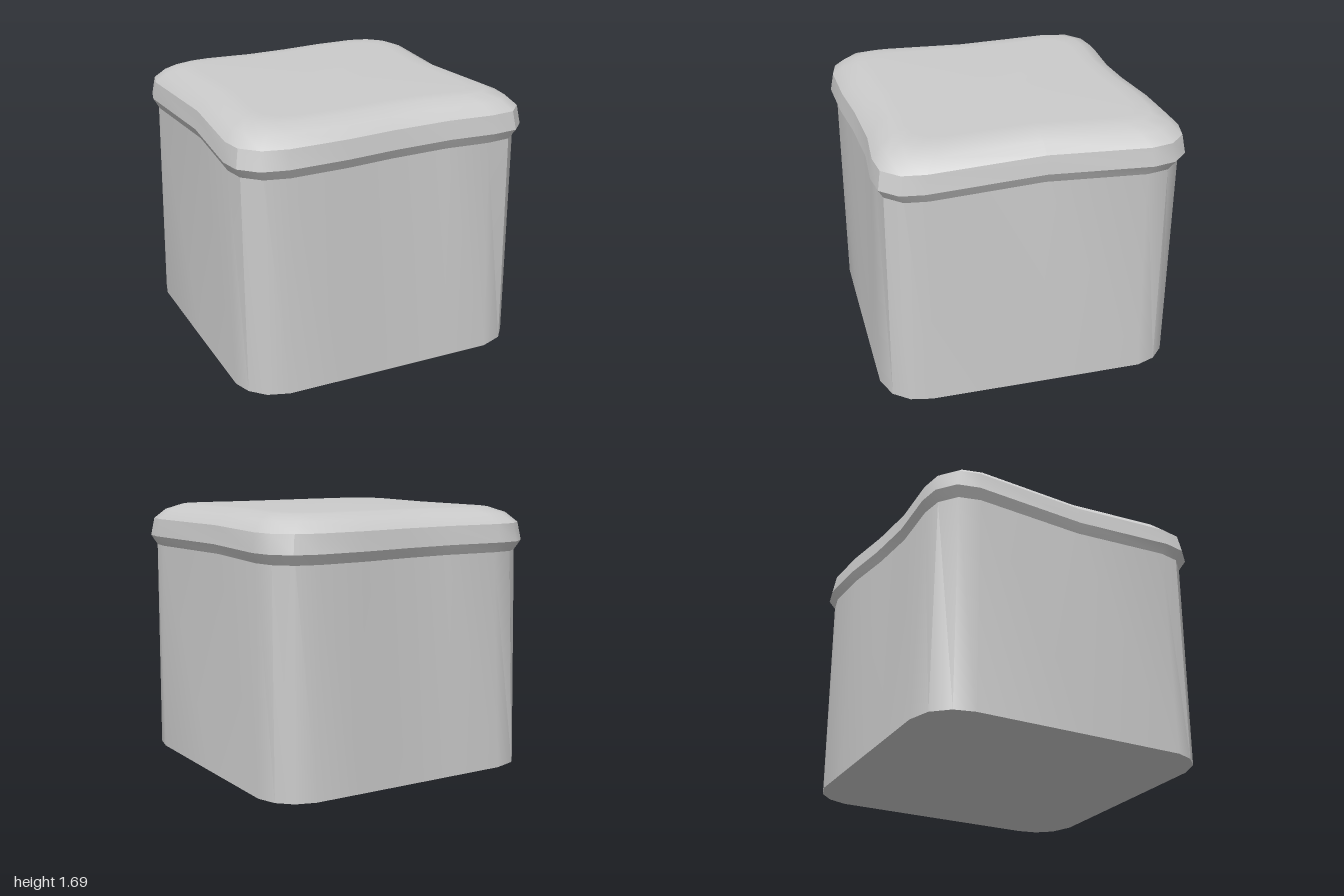
import * as THREE from 'three';
import { toCreasedNormals } from 'three/addons/utils/BufferGeometryUtils.js';

// Wavy outline of the lid rim as [x, z], clockwise seen from above
const rim = [
  [-0.98, -0.68], [-0.945, -0.82], [-0.83, -0.91], [-0.68, -0.93],
  [-0.31, -0.91], [0.03, -0.935], [0.38, -0.985], [0.7, -1],
  [0.85, -0.965], [0.95, -0.86], [0.98, -0.715], [0.918, -0.07],
  [0.985, 0.67], [0.965, 0.82], [0.865, 0.925], [0.7, 0.945],
  [0.4, 0.925], [0, 0.945], [-0.32, 0.98], [-0.7, 0.995],
  [-0.86, 0.96], [-0.965, 0.855], [-0.99, 0.715], [-0.937, 0.07],
];

// Projects a rim point onto the rounded square of the base
function toBase([x, z]) {
  const core = 0.68, radius = 0.28;
  const cx = THREE.MathUtils.clamp(x, -core, core);
  const cz = THREE.MathUtils.clamp(z, -core, core);
  const d = new THREE.Vector2(x - cx, z - cz).setLength(radius);
  return [cx + d.x, cz + d.y];
}

const ring = (outline, scale, y) => outline.map(([x, z]) => [x * scale, y, z * scale]);

// Skins a stack of rings from bottom to top; a ring of scale 0 closes an end
function loft(name, rings, material) {
  const pos = [];
  const collapsed = (r) => r[0][0] === r[1][0];
  for (let k = 0; k < rings.length - 1; k++) {
    const a = rings[k], b = rings[k + 1];
    for (let i = 0; i < a.length; i++) {
      const j = (i + 1) % a.length;
      if (!collapsed(b)) pos.push(...a[i], ...b[i], ...b[j]);
      if (!collapsed(a)) pos.push(...a[i], ...b[j], ...a[j]);
    }
  }
  const geometry = new THREE.BufferGeometry();
  geometry.setAttribute('position', new THREE.Float32BufferAttribute(pos, 3));
  const mesh = new THREE.Mesh(toCreasedNormals(geometry, 0.56), material);
  mesh.name = name;
  return mesh;
}

export function createModel() {
  const material = new THREE.MeshStandardMaterial({ color: 0xcccccc });
  const base = rim.map(toBase);
  const group = new THREE.Group();
  group.name = 'softBlock';

  // Block: rounded square at the ground, drawn into the wavy outline at the top
  group.add(loft('body', [
    ring(base, 0, 0),
    ring(base, 1, 0),
    ring(rim, 0.965, 1.405),
  ], material));

  // Overhanging slab with a bevelled underside and a softly rounded top
  group.add(loft('topSlab', [
    ring(rim, 0.965, 1.405),
    ring(rim, 1, 1.468),
    ring(rim, 0.98, 1.585),
    ring(rim, 0.915, 1.648),
    ring(rim, 0.82, 1.685),
    ring(rim, 0.72, 1.688),
    ring(rim, 0, 1.688),
  ], material));

  return group;
}
